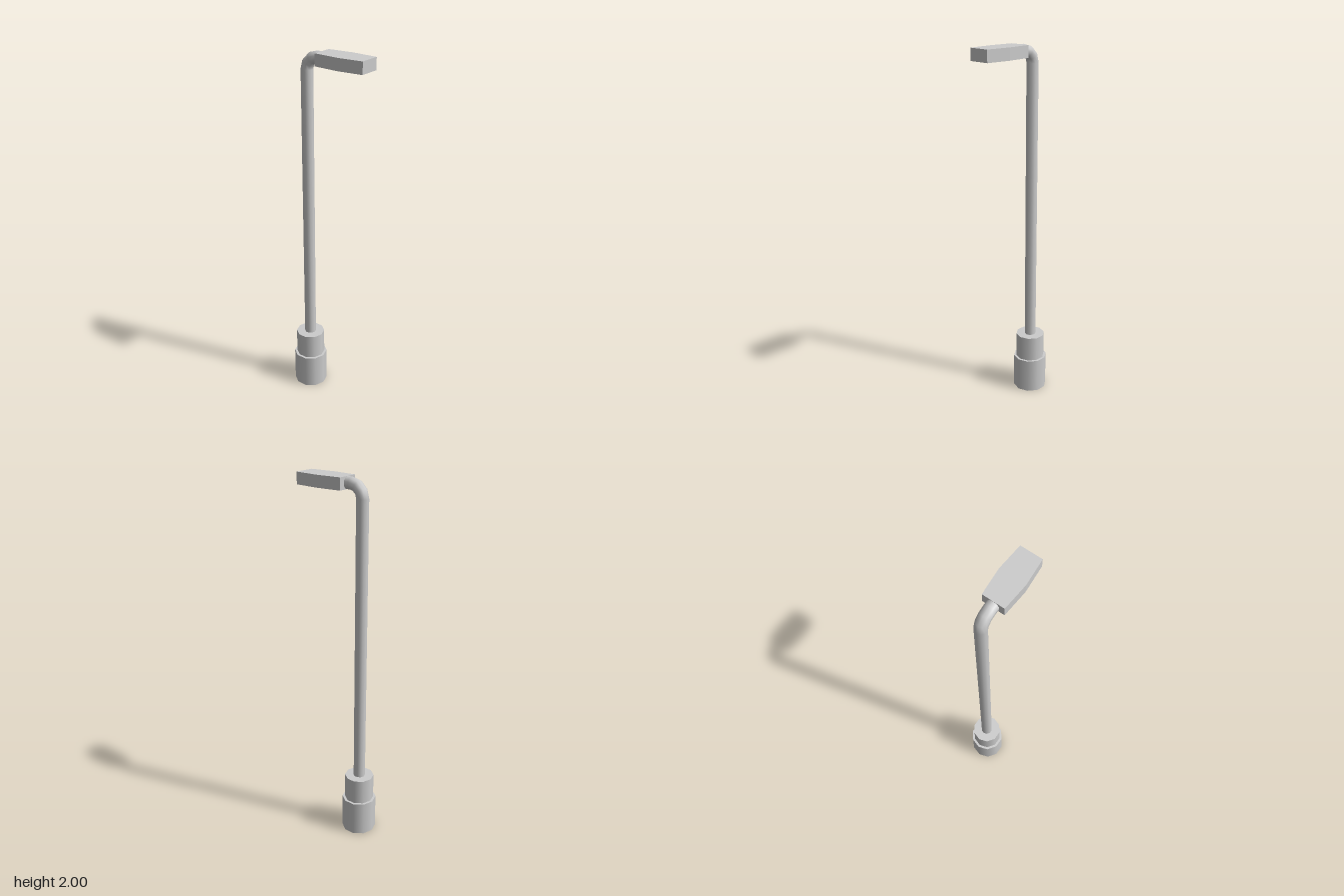
import * as THREE from 'three';

export function createModel() {
  const group = new THREE.Group();
  const material = new THREE.MeshStandardMaterial({ color: 0xcccccc });
  const SIDES = 10;
  const poleZ = -0.14, poleRadius = 0.032;
  const bendRadius = 0.068, bendY = 1.9, bendZ = poleZ + bendRadius;

  const add = (name, geometry, x, y, z) => {
    const mesh = new THREE.Mesh(geometry, material);
    mesh.name = name;
    mesh.position.set(x, y, z);
    group.add(mesh);
    return mesh;
  };

  // Upright ten-sided cylinder between two heights
  const column = (name, radius, y0, y1) =>
    add(name, new THREE.CylinderGeometry(radius, radius, y1 - y0, SIDES), 0, (y0 + y1) / 2, poleZ);

  // Stepped base and pole
  column('lowerBase', 0.095, 0, 0.197);
  column('upperBase', 0.081, 0.197, 0.34);
  column('pole', poleRadius, 0.33, bendY);

  // Quarter bend from the pole to the arm
  const bend = add('bend',
    new THREE.TorusGeometry(bendRadius, poleRadius, SIDES, 3, Math.PI / 2), 0, bendY, bendZ);
  bend.rotation.y = Math.PI / 2;

  // Short horizontal arm running into the lamp head
  const armEnd = -0.04;
  const arm = add('arm',
    new THREE.CylinderGeometry(poleRadius, poleRadius, armEnd - bendZ, SIDES),
    0, bendY + bendRadius, (bendZ + armEnd) / 2);
  arm.rotation.x = Math.PI / 2;

  // Flat lamp head, widest in the middle (shape y becomes +z)
  const back = -0.047, front = 0.235, middle = (back + front) / 2;
  const outline = new THREE.Shape([
    [-0.058, back], [0.058, back], [0.069, middle],
    [0.058, front], [-0.058, front], [-0.069, middle],
  ].map(([x, z]) => new THREE.Vector2(x, z)));
  const headGeometry = new THREE.ExtrudeGeometry(outline, { depth: 0.063, bevelEnabled: false });
  headGeometry.rotateX(Math.PI / 2);
  add('lampHead', headGeometry, 0, 2, 0);

  return group;
}
